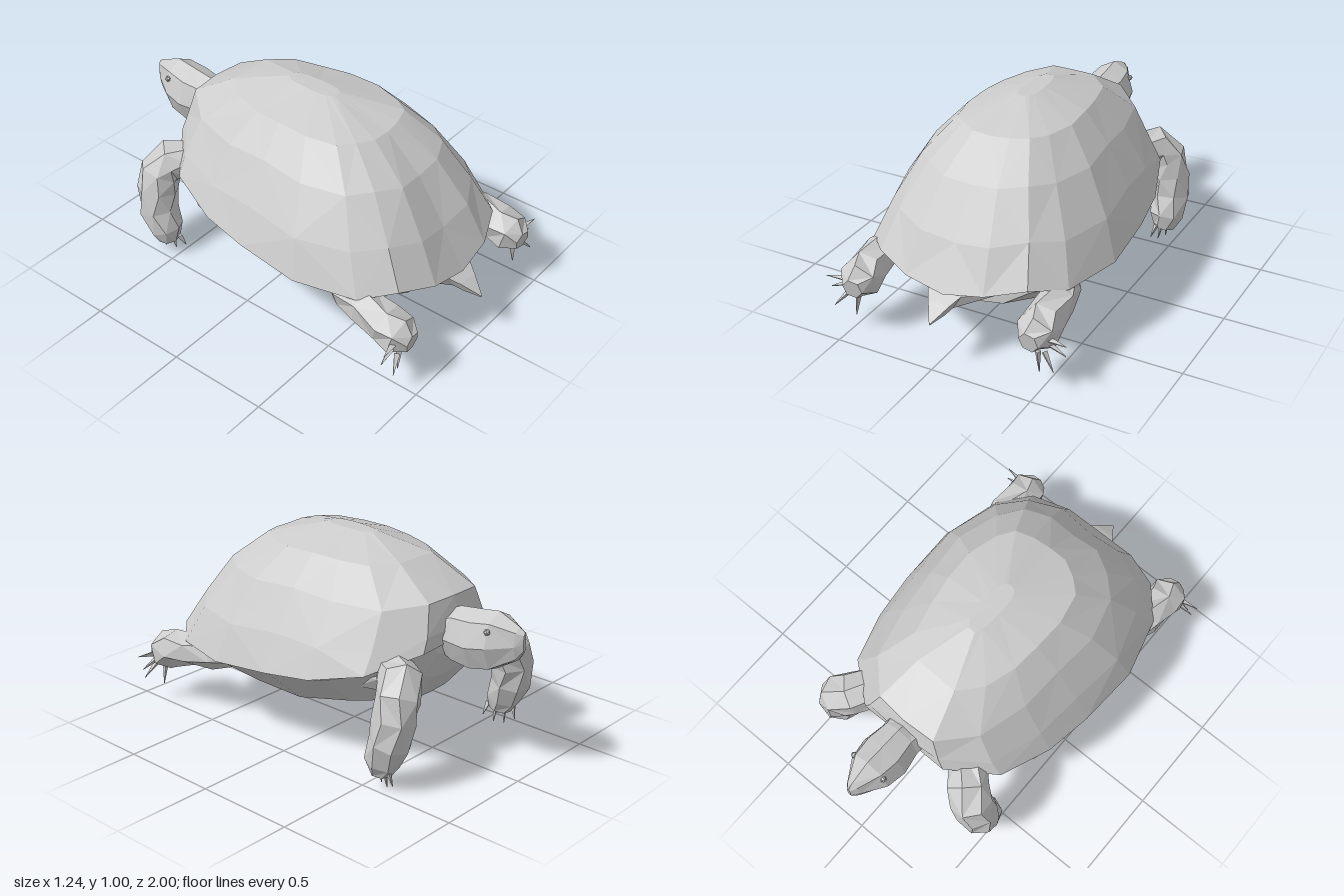
import * as THREE from 'three';

const V = (x, y, z) => new THREE.Vector3(x, y, z);
const material = new THREE.MeshStandardMaterial({ color: 0xcccccc, flatShading: true });

// Skin a list of closed rings (counter-clockwise about the travel direction) and cap both ends
function loft(name, rings) {
  const pos = [];
  const tri = (a, b, c) => [a, b, c].forEach((p) => pos.push(p.x, p.y, p.z));
  const n = rings[0].length;
  const middle = (ring) => ring.reduce((m, p) => m.add(p), V(0, 0, 0)).divideScalar(n);
  const first = rings[0], last = rings[rings.length - 1];
  const startMid = middle(first), endMid = middle(last);
  for (let j = 0; j < n; j++) {
    const k = (j + 1) % n;
    for (let i = 0; i < rings.length - 1; i++) {
      const a = rings[i][j], b = rings[i][k], c = rings[i + 1][k], d = rings[i + 1][j];
      if ((i + j) % 2) { tri(a, b, c); tri(a, c, d); } else { tri(a, b, d); tri(b, c, d); }
    }
    tri(startMid, first[k], first[j]);
    tri(endMid, last[j], last[k]);
  }
  const geometry = new THREE.BufferGeometry();
  geometry.setAttribute('position', new THREE.Float32BufferAttribute(pos, 3));
  geometry.computeVertexNormals();
  const mesh = new THREE.Mesh(geometry, material);
  mesh.name = name;
  return mesh;
}

// Tapered limb through points [x, y, z, radius]; ref steadies the ring orientation
function limb(name, path, ref, sides) {
  const pts = path.map((p) => V(p[0], p[1], p[2]));
  return loft(name, pts.map((p, i) => {
    const t = pts[Math.min(i + 1, pts.length - 1)].clone().sub(pts[Math.max(i - 1, 0)]).normalize();
    const u = ref.clone().addScaledVector(t, -ref.dot(t)).normalize();
    const v = t.clone().cross(u);
    return Array.from({ length: sides }, (_, j) => {
      const a = ((j + (i % 2) * 0.3) / sides) * Math.PI * 2;
      return p.clone().addScaledVector(u, Math.cos(a) * path[i][3]).addScaledVector(v, Math.sin(a) * path[i][3]);
    });
  }));
}

// Complete a half ring by mirroring it in x
const mirrorHalf = (half) => [...half, ...half.filter((p) => p[0] > 0).reverse().map(([x, ...rest]) => [-x, ...rest])];

// Rings along z from rows [z, halfWidth, baseY, endY] and a unit half profile [x, t]
const sections = (rows, half) => rows.map(([z, w, base, end]) =>
  mirrorHalf(half).map(([x, t]) => V(x * w, base + (end - base) * t, z)));

// Domed shell: the rim outline [x, z, y] shrinks upward level by level
function makeShell() {
  const rim = mirrorHalf([
    [0, 0.89, 0.34], [0.2, 0.875, 0.375], [0.38, 0.8, 0.415], [0.51, 0.66, 0.385],
    [0.59, 0.36, 0.39], [0.575, 0.04, 0.42], [0.54, -0.2, 0.445],
    [0.45, -0.46, 0.51], [0.24, -0.63, 0.6], [0, -0.63, 0.61],
  ]);
  // [width, front z, rear z, height fraction]
  const levels = [
    [1, 0.63, 0.89, 0],
    [0.88, 0.63, 0.78, 0.3],
    [0.68, 0.6, 0.63, 0.63],
    [0.46, 0.38, 0.44, 0.87],
    [0.08, 0.13, 0.15, 0.99],
  ];
  return loft('shell', levels.map(([sx, front, rear, f], i) => rim.map(([x, z, y], j) => {
    const k = i > 0 && i < 4 ? 1 + 0.015 * Math.sin(i * 5.3 + j * 8.7) : 1;
    // The dome rises more slowly towards the neck
    const rise = f ** (1 + 0.5 * Math.max(0, -z / 0.63));
    return V(x * sx * k, y + (1.01 - y) * rise, z * k * (z > 0 ? rear / 0.89 : front / 0.63));
  })));
}

export function createModel() {
  const model = new THREE.Group();
  model.name = 'tortoise';
  model.add(makeShell());

  // Belly plate and chest; profile runs counter-clockwise from the lower middle
  const bellyProfile = [[0, 1], [0.28, 0.98], [0.62, 0.8], [1, 0]];
  model.add(loft('belly', sections([
    [-0.62, 0.2, 0.63, 0.55],
    [-0.57, 0.28, 0.59, 0.42],
    [-0.48, 0.4, 0.52, 0.29],
    [-0.28, 0.515, 0.46, 0.25],
    [0.03, 0.57, 0.425, 0.175],
    [0.3, 0.58, 0.395, 0.19],
    [0.6, 0.5, 0.38, 0.22],
    [0.74, 0.36, 0.37, 0.25],
  ], bellyProfile)));

  // Broad rump narrowing into a short pointed tail
  model.add(loft('tail', sections([
    [0.66, 0.36, 0.36, 0.25],
    [0.79, 0.24, 0.355, 0.27],
    [0.87, 0.085, 0.34, 0.24],
    [0.92, 0.055, 0.31, 0.23],
    [1.0, 0.004, 0.25, 0.24],
  ], [[0, 1], [0.5, 0.7], [1, 0]])));

  // Head and neck, built from the snout back
  const head = new THREE.Group();
  head.name = 'head';
  head.add(loft('skull', sections([
    [-1.0, 0.01, 0.64, 0.735],
    [-0.97, 0.04, 0.595, 0.755],
    [-0.86, 0.11, 0.525, 0.8],
    [-0.76, 0.125, 0.505, 0.785],
    [-0.65, 0.105, 0.51, 0.77],
    [-0.58, 0.115, 0.55, 0.74],
    [-0.4, 0.16, 0.48, 0.7],
  ], [[0, 0], [0.65, 0.06], [1, 0.45], [0.7, 0.85], [0, 1]])));
  for (const s of [1, -1]) {
    const eye = new THREE.Mesh(new THREE.IcosahedronGeometry(0.016, 0), material);
    eye.name = 'eye';
    eye.position.set(s * 0.089, 0.725, -0.86);
    head.add(eye);
  }
  model.add(head);

  // Legs and claws on both sides
  const flip = (s, path) => path.map(([x, ...rest]) => [s * x, ...rest]);
  const claw = (s, from, to) => limb('claw', flip(s, [[...from, 0.016], [...to, 0.002]]), V(0.3, 0.2, 0.9), 3);
  for (const s of [1, -1]) {
    const side = s > 0 ? 'left' : 'right';
    const front = new THREE.Group();
    front.name = side + 'FrontLeg';
    front.add(limb('frontLimb', flip(s, [
      [0.3, 0.46, -0.34, 0.09],
      [0.29, 0.5, -0.5, 0.1],
      [0.36, 0.5, -0.6, 0.105],
      [0.41, 0.44, -0.63, 0.105],
      [0.435, 0.35, -0.63, 0.105],
      [0.45, 0.24, -0.62, 0.1],
      [0.45, 0.14, -0.575, 0.085],
      [0.445, 0.075, -0.565, 0.055],
    ]), V(s, 0, 1), 7));
    for (let k = -1.5; k < 2; k++) {
      front.add(claw(s, [0.445 - 0.015 * k, 0.1, -0.57 + 0.038 * k], [0.43 - 0.02 * k, k * k > 1 ? 0.035 : 0.005, -0.57 + 0.05 * k]));
    }

    const hind = new THREE.Group();
    hind.name = side + 'HindLeg';
    hind.add(limb('hindLimb', flip(s, [
      [0.36, 0.335, 0.42, 0.06],
      [0.43, 0.325, 0.55, 0.08],
      [0.46, 0.325, 0.67, 0.085],
      [0.46, 0.295, 0.79, 0.095],
      [0.46, 0.265, 0.87, 0.1],
      [0.455, 0.255, 0.935, 0.05],
    ]), V(0, 1, 0), 6));
    const tips = [[0.62, 0.265, 0.9], [0.61, 0.2, 0.88], [0.57, 0.13, 0.92], [0.48, 0.08, 0.88]];
    for (const tip of tips) {
      const from = V(0.46, 0.26, 0.87).lerp(V(...tip), 0.45).toArray();
      hind.add(claw(s, from, tip));
    }
    model.add(front, hind);
  }
  return model;
}
